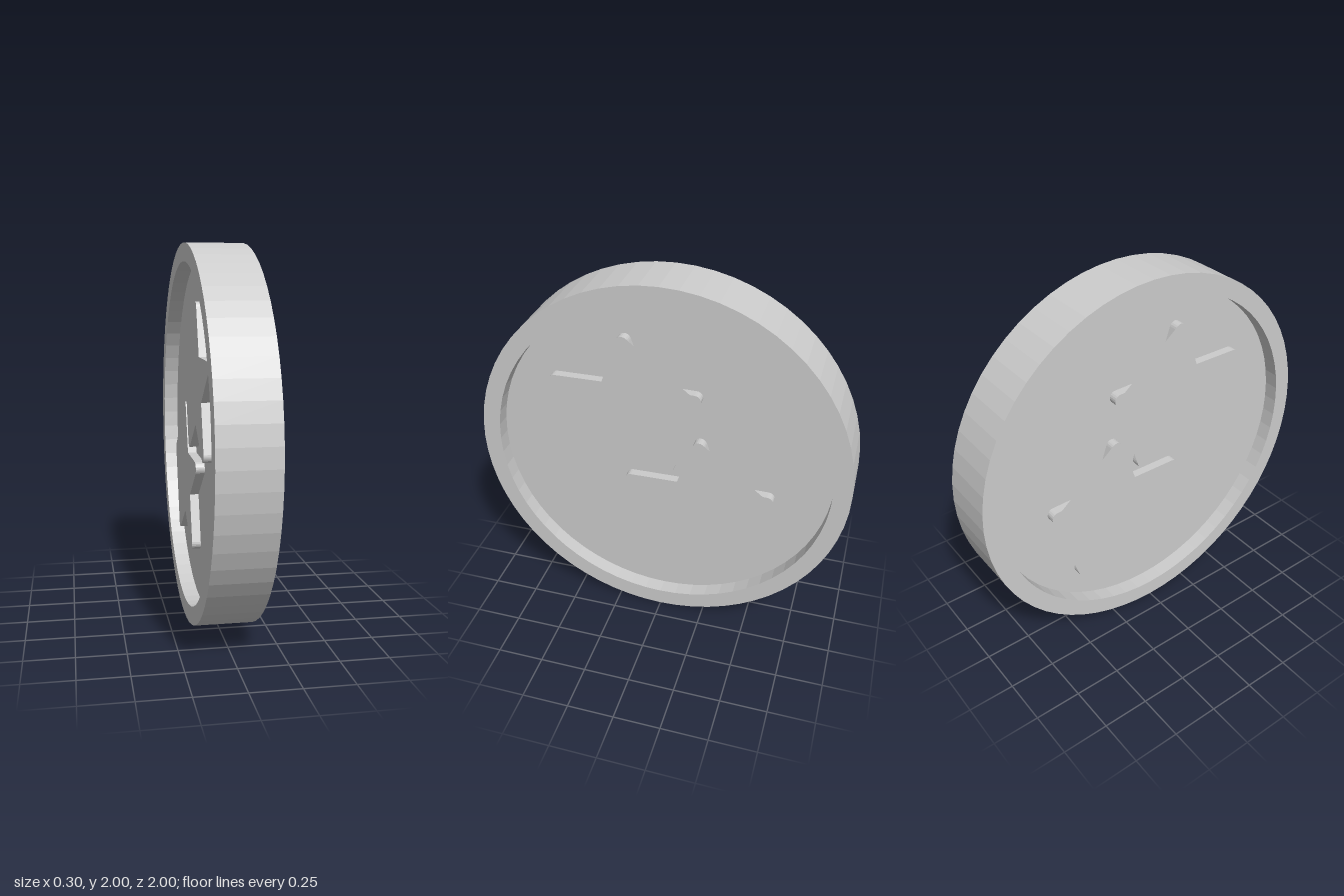
import * as THREE from 'three';

const FLOOR = 0.068, CAP = 0.115, RIM = 0.15;
const material = new THREE.MeshStandardMaterial({ color: 0xcccccc, flatShading: true });

// Round-tipped five-arm star, counter-clockwise. The wall follows the full star;
// the cap bridges the two notches beside the right arm.
function starOutlines() {
  const wall = [], cap = [];
  const reach = 0.391, tip = 0.034, inner = 0.195, rad = Math.PI / 180;
  for (let k = 0; k < 5; k++) {
    const a = (90 + 72 * k) * rad;
    for (let j = 0; j <= 8; j++) {
      const b = a + (-72 + 18 * j) * rad;
      const p = new THREE.Vector2(
        reach * Math.cos(a) + tip * Math.cos(b),
        reach * Math.sin(a) + tip * Math.sin(b));
      wall.push(p);
      const dropped = (k === 0 && j < 2) || (k === 3 && j > 6) || (k === 4 && j !== 2);
      if (!dropped) cap.push(p);
    }
    const n = a + 36 * rad;
    const notch = new THREE.Vector2(inner * Math.cos(n), inner * Math.sin(n));
    wall.push(notch);
    if (k < 3) cap.push(notch);
  }
  return { wall, cap };
}

// Open band around an outline, running through the disc from face to face
function bandGeometry(outline, h) {
  const pos = [];
  outline.forEach((p, i) => {
    const q = outline[(i + 1) % outline.length];
    pos.push(p.x, p.y, -h, q.x, q.y, -h, q.x, q.y, h);
    pos.push(p.x, p.y, -h, q.x, q.y, h, p.x, p.y, h);
  });
  const g = new THREE.BufferGeometry();
  g.setAttribute('position', new THREE.Float32BufferAttribute(pos, 3));
  g.computeVertexNormals();
  return g;
}

function makeMesh(name, geometry, parent) {
  const mesh = new THREE.Mesh(geometry, material);
  mesh.name = name;
  parent.add(mesh);
  return mesh;
}

export function createModel() {
  const model = new THREE.Group();
  model.name = 'coin';

  // Built facing local z, then turned so the faces look along x
  const coin = new THREE.Group();
  coin.name = 'coinBody';
  coin.position.y = 1;
  coin.rotation.y = Math.PI / 2;
  model.add(coin);

  // Disc with a raised rim on both faces
  const profile = [
    [0, -FLOOR], [0.905, -FLOOR], [0.905, -RIM], [1, -RIM],
    [1, RIM], [0.905, RIM], [0.905, FLOOR], [0, FLOOR],
  ].map(([r, h]) => new THREE.Vector2(r, h));
  const disc = new THREE.LatheGeometry(profile, 64);
  disc.rotateX(Math.PI / 2);
  makeMesh('rimmedDisc', disc, coin);

  // Two raised stars, showing on both faces
  const { wall, cap } = starOutlines();
  const wallGeometry = bandGeometry(wall, CAP);
  const capGeometry = new THREE.ShapeGeometry(new THREE.Shape(cap));
  const backGeometry = capGeometry.clone();
  const index = backGeometry.index.array;
  for (let i = 0; i < index.length; i += 3) {
    [index[i], index[i + 1]] = [index[i + 1], index[i]];
  }
  backGeometry.computeVertexNormals();

  [['upperStar', -0.2, 0.275], ['lowerStar', 0.2, -0.275]].forEach(([name, x, y]) => {
    const star = new THREE.Group();
    star.name = name;
    star.position.set(x, y, 0);
    makeMesh('starWall', wallGeometry, star);
    makeMesh('starCapLeft', capGeometry, star).position.z = CAP;
    makeMesh('starCapRight', backGeometry, star).position.z = -CAP;
    coin.add(star);
  });

  return model;
}
